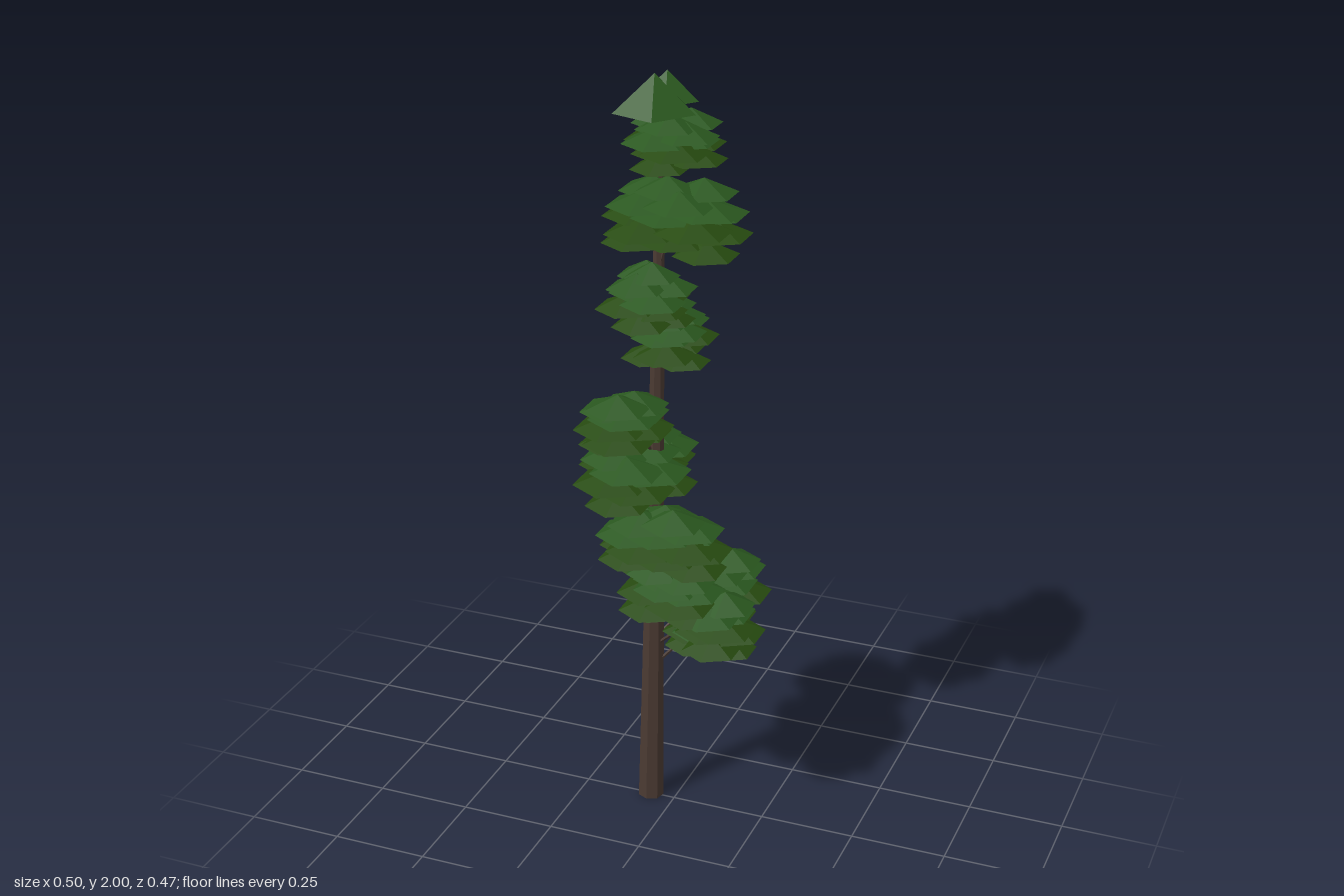
import * as THREE from 'three';

const mat = (name, color) => {
  const m = new THREE.MeshStandardMaterial({ color, flatShading: true });
  m.name = name;
  return m;
};

// Foliage clumps: [x, z, bottom y, top y, spread in x, spread in z, pad radius, pad count]
const CLUMPS = [
  [0.09, -0.03, 0.47, 0.58, 0.05, 0.03, 0.085, 9],
  [0.125, 0.03, 0.53, 0.67, 0.045, 0.06, 0.09, 11],
  [0.09, -0.09, 0.55, 0.73, 0.05, 0.055, 0.09, 13],
  [0.025, 0.085, 0.6, 0.76, 0.06, 0.03, 0.09, 11],
  [-0.04, -0.045, 0.62, 0.8, 0.04, 0.05, 0.085, 11],
  [0.01, 0.1, 0.76, 0.92, 0.09, 0.045, 0.095, 17],
  [-0.105, -0.01, 0.91, 1.05, 0.07, 0.13, 0.1, 18],
  [-0.095, 0.095, 1.07, 1.21, 0.03, 0.055, 0.095, 11],
  [-0.015, -0.01, 1.26, 1.43, 0.04, 0.085, 0.08, 14],
  [-0.035, 0.085, 1.39, 1.55, 0.055, 0.05, 0.08, 12],
  [0.01, 0.015, 1.57, 1.75, 0.1, 0.085, 0.095, 20],
  [0.005, 0.01, 1.78, 1.91, 0.06, 0.07, 0.085, 14],
];

export function createModel() {
  const tree = new THREE.Group();
  tree.name = 'tree';
  const bark = mat('bark', 0x4a3a32);
  const upperLeaf = mat('upper leaf green', 0x2a581f);
  const lowerLeaf = mat('lower leaf olive', 0x274b10);

  const add = (parent, name, geometry, material) => {
    const mesh = new THREE.Mesh(geometry, material);
    mesh.name = name;
    parent.add(mesh);
    return mesh;
  };

  // Tapered rod between two points
  const rod = (name, a, b, ra, rb, sides) => {
    const dir = b.clone().sub(a);
    const mesh = add(tree, name, new THREE.CylinderGeometry(rb, ra, dir.length(), sides), bark);
    mesh.position.copy(a).add(b).multiplyScalar(0.5);
    mesh.quaternion.setFromUnitVectors(new THREE.Vector3(0, 1, 0), dir.normalize());
  };

  // Low cone of leaves with a flat underside
  const pad = (parent, x, y, z, r, h, sides, turn, material) => {
    const cone = new THREE.ConeGeometry(r, h, sides, 1, false, turn);
    add(parent, 'leafPad', cone, material).position.set(x, y + h / 2, z);
  };

  // Slightly leaning trunk
  const trunkAt = (y) => new THREE.Vector3(-0.067 + 0.013 * y, y, -0.01 * y);
  rod('trunk', trunkAt(0), trunkAt(1.93), 0.034, 0.009, 7);

  CLUMPS.forEach(([x, z, y0, y1, spreadX, spreadZ, r, count], c) => {
    const clump = new THREE.Group();
    clump.name = 'foliageClump';
    tree.add(clump);
    const h = 0.038;
    for (let i = 0; i < count; i++) {
      const t = i / (count - 1);
      const angle = i * 2.4 + c * 1.3;
      const reach = (1 - 0.35 * t * t) * (i % 4 === 3 ? 0.4 : 1);
      const size = r * (0.87 + 0.15 * Math.sin(Math.PI * t));
      pad(clump, x + reach * spreadX * Math.cos(angle), y0 + t * (y1 - y0 - h),
        z + reach * spreadZ * Math.sin(angle), size, h, 6, 0, t > 0.5 ? upperLeaf : lowerLeaf);
    }
    // Branch rising from the trunk, bending up into the clump
    const start = trunkAt(y0 - 0.08);
    const end = new THREE.Vector3(x, y0 + 0.06, z);
    const elbow = start.clone().lerp(end, 0.5);
    elbow.y += 0.015;
    rod('branch', start, elbow, 0.005, 0.004, 5);
    rod('branchTip', elbow, end, 0.004, 0.003, 5);
  });

  // Crown
  const crown = new THREE.Group();
  crown.name = 'crown';
  tree.add(crown);
  pad(crown, -0.028, 1.91, 0.055, 0.103, 0.09, 5, Math.PI / 2, upperLeaf);
  pad(crown, -0.04, 1.91, -0.055, 0.08, 0.07, 5, Math.PI / 2, upperLeaf);
  pad(crown, -0.04, 1.86, -0.03, 0.08, 0.05, 6, 0, upperLeaf);
  return tree;
}
